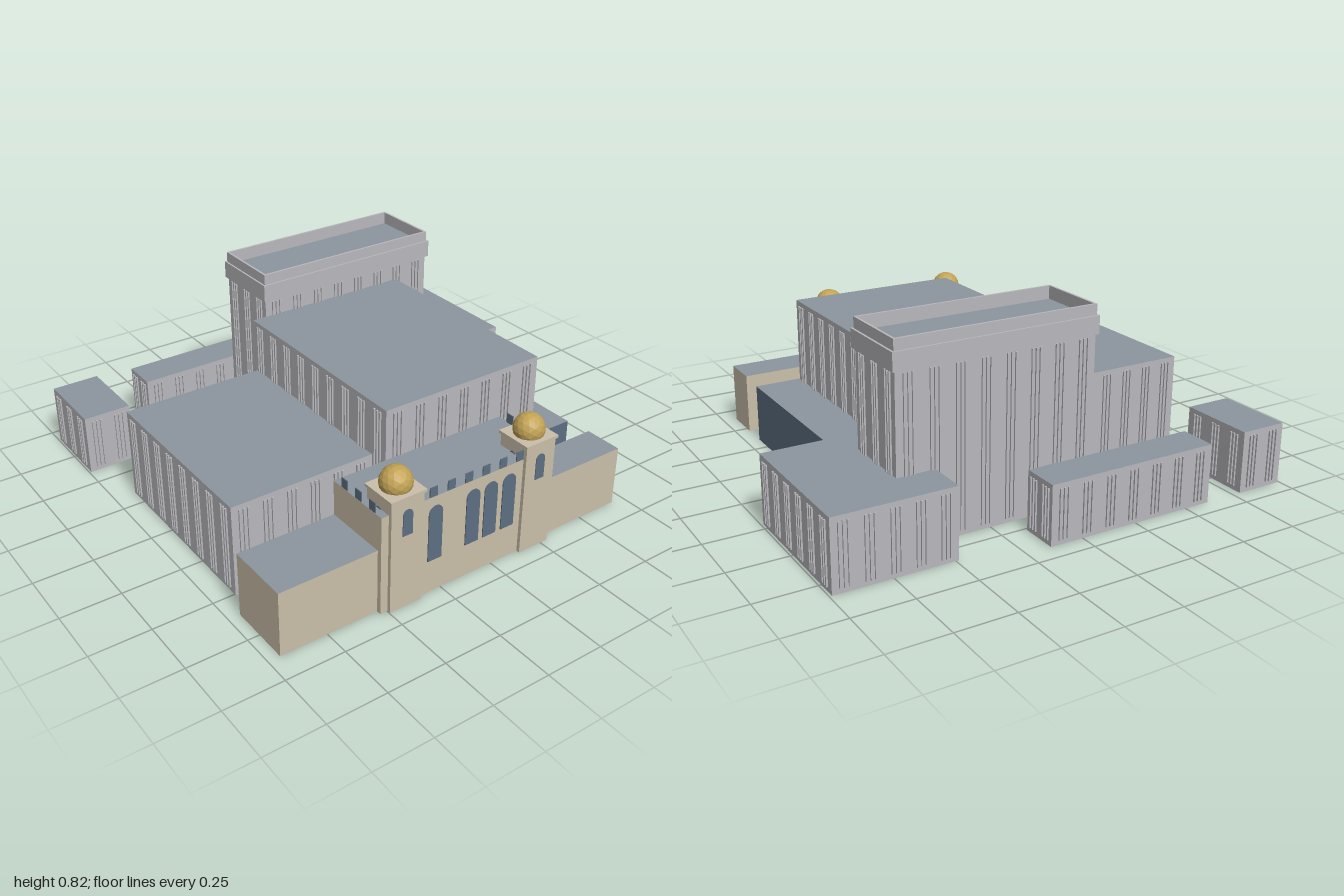
import * as THREE from 'three';
import { mergeGeometries } from 'three/addons/utils/BufferGeometryUtils.js';

function mat(name, color) {
  const m = new THREE.MeshStandardMaterial({ color, side: THREE.DoubleSide });
  m.name = name;
  return m;
}

export function createModel() {
  const model = new THREE.Group();
  model.name = 'civicBuilding';
  const concrete = mat('concrete', 0xb8b8bd);
  const roofing = mat('roofing', 0x8c969e);
  const sandstone = mat('sandstone', 0xcbbfaa);
  const glass = mat('blueGlass', 0x5e6f82);
  const gold = mat('gold', 0xc2a355);
  gold.flatShading = true;

  function add(name, geometry, material, parent = model) {
    const mesh = new THREE.Mesh(geometry, material);
    mesh.name = name;
    parent.add(mesh);
    return mesh;
  }

  // Box shell without a floor, with its own roof material
  function block(name, x0, x1, z0, z1, y0, y1, wall, roof = roofing, parent = model) {
    const g = new THREE.BoxGeometry(x1 - x0, y1 - y0, z1 - z0);
    g.translate((x0 + x1) / 2, (y0 + y1) / 2, (z0 + z1) / 2);
    g.groups = g.groups.filter(s => s.materialIndex !== 3);
    return add(name, g, [wall, wall, roof, wall, wall, wall], parent);
  }

  // Slim fins in groups of three around all four sides
  function fins(name, x0, x1, z0, z1, y0, y1, parent) {
    const parts = [], w = 0.008;
    const fin = (x, z) =>
      parts.push(new THREE.BoxGeometry(w, y1 - y0, w).translate(x, (y0 + y1) / 2, z));
    const along = (a, b, place) => {
      const n = Math.max(2, Math.round((b - a) / 0.105));
      for (let i = 0; i < n; i++) {
        const c = a + (b - a) * (i + 0.5) / n;
        for (const d of [-0.018, 0, 0.018]) place(c + d);
      }
    };
    along(x0, x1, x => { fin(x, z0 - 0.003); fin(x, z1 + 0.003); });
    along(z0, z1, z => { fin(x0 - 0.003, z); fin(x1 + 0.003, z); });
    add(name, mergeGeometries(parts), concrete, parent);
  }

  // Concrete halls: x0, x1, z0, z1, height
  const halls = [
    ['smallPavilion', -0.992, -0.785, -0.922, -0.59, 0.265],
    ['rearAnnex', -0.613, 0.143, -0.922, -0.762, 0.25],
    ['leftRearHall', 0.488, 0.99, -0.838, -0.21, 0.295],
    ['mainHall', -0.277, 0.483, -0.36, 0.592, 0.625],
    ['rightHall', -0.907, -0.28, -0.335, 0.508, 0.395],
  ];
  for (const [name, x0, x1, z0, z1, h] of halls) {
    const hall = new THREE.Group();
    hall.name = name;
    model.add(hall);
    block(name + 'Shell', x0, x1, z0, z1, 0, h, concrete, roofing, hall);
    fins(name + 'Fins', x0, x1, z0, z1, 0.02, h - 0.02, hall);
  }

  // Stage tower with cornice and parapet rings
  const tower = new THREE.Group();
  tower.name = 'stageTower';
  model.add(tower);
  block('stageTowerShell', -0.215, 0.65, -0.67, -0.358, 0, 0.765, concrete, roofing, tower);
  fins('stageTowerFins', -0.215, 0.65, -0.67, -0.358, 0.02, 0.69, tower);
  function ring(name, x0, x1, z0, z1, y0, y1, t) {
    const rect = (C, i) => new C([[x0 + i, z0 + i], [x1 - i, z0 + i], [x1 - i, z1 - i], [x0 + i, z1 - i]]
      .map(([x, z]) => new THREE.Vector2(x, -z)));
    const s = rect(THREE.Shape, 0);
    s.holes.push(rect(THREE.Path, t));
    const g = new THREE.ExtrudeGeometry(s, { depth: y1 - y0, bevelEnabled: false });
    add(name, g.rotateX(-Math.PI / 2).translate(0, y0, 0), concrete, tower);
  }
  ring('cornice', -0.225, 0.662, -0.68, -0.347, 0.7, 0.775, 0.016);
  ring('parapet', -0.217, 0.653, -0.672, -0.355, 0.775, 0.82, 0.01);

  // Glazed side wing
  block('glassWing', 0.483, 0.69, -0.205, 0.597, 0, 0.255, glass);

  // Sandstone entrance front
  block('rightWing', -0.95, -0.53, 0.612, 0.888, 0, 0.275, sandstone);
  block('entranceBlock', -0.53, 0.275, 0.612, 0.908, 0, 0.425, sandstone);
  block('leftWing', 0.275, 0.69, 0.72, 0.888, 0, 0.265, sandstone);

  // Round-headed window plate facing +z, base centre at the origin
  function archGeometry(w, h) {
    const r = w / 2, s = new THREE.Shape();
    s.moveTo(-r, 0);
    s.lineTo(r, 0);
    s.lineTo(r, h - r);
    s.absarc(0, h - r, r, 0, Math.PI, false);
    s.closePath();
    return new THREE.ExtrudeGeometry(s, { depth: 0.005, bevelEnabled: false, curveSegments: 8 });
  }
  for (const x of [-0.285, -0.107, -0.02, 0.07])
    add('archedWindow', archGeometry(0.064, 0.24), glass).position.set(x, 0.145, 0.907);

  // Domed corner turrets
  for (const x of [-0.425, 0.21]) {
    const turret = new THREE.Group();
    turret.name = 'turret';
    turret.position.set(x, 0, 0.85);
    model.add(turret);
    block('turretShaft', -0.073, 0.073, -0.073, 0.073, 0, 0.48, sandstone, sandstone, turret);
    add('turretCap', new THREE.BoxGeometry(0.16, 0.012, 0.16), sandstone, turret).position.y = 0.484;
    add('dome', new THREE.IcosahedronGeometry(0.064, 2), gold, turret).position.y = 0.511;
    for (const a of [0, Math.PI / 2, -Math.PI / 2]) {
      const win = add('turretWindow', archGeometry(0.044, 0.11), glass, turret);
      win.rotation.y = a;
      win.position.set(Math.sin(a) * 0.071, 0.322, Math.cos(a) * 0.071);
    }
  }

  // Thin merlons along the front and both sides of the entrance roof
  for (let i = 0; i < 6; i++)
    add('frontMerlon', new THREE.BoxGeometry(0.035, 0.042, 0.004), glass)
      .position.set(-0.295 + i * 0.083, 0.445, 0.905);
  for (const x of [-0.527, 0.272])
    for (const z of [0.68, 0.765, 0.85])
      add('sideMerlon', new THREE.BoxGeometry(0.004, 0.042, 0.035), glass).position.set(x, 0.445, z);

  return model;
}
